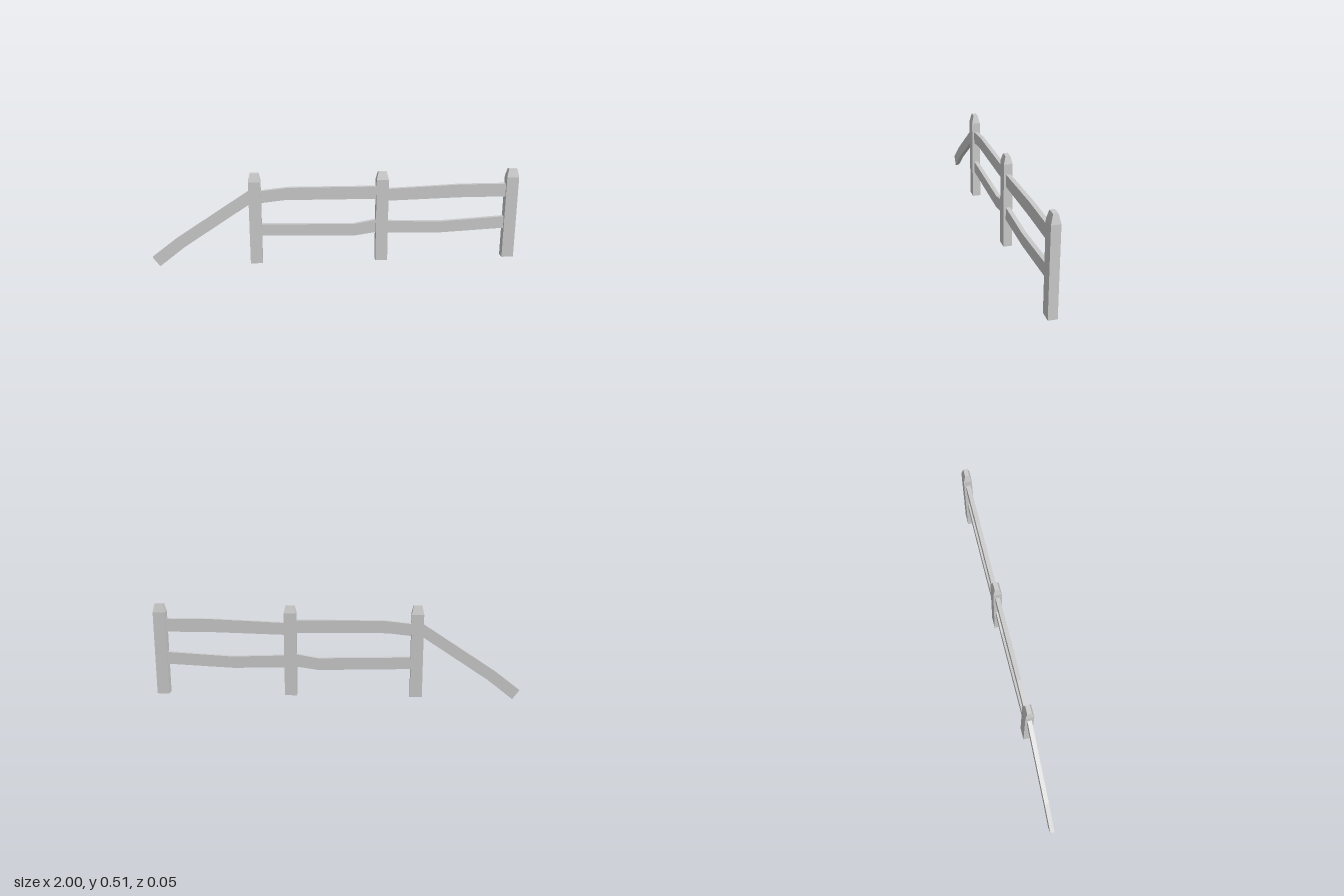
import * as THREE from 'three';

const material = new THREE.MeshStandardMaterial({ color: 0xcccccc, flatShading: true, side: THREE.DoubleSide });

const BASE = 0.007, SHOULDER = 0.467;

// Square post with a tapered head and an open foot
function createPost(x, top) {
  const geo = new THREE.BoxGeometry(0.066, 2, 0.046, 1, 2, 1);
  const pos = geo.attributes.position;
  for (let i = 0; i < pos.count; i++) {
    const level = Math.round(pos.getY(i)); // -1 foot, 0 shoulder, 1 top
    pos.setY(i, [BASE, SHOULDER, top][level + 1]);
    if (level === 1) {
      pos.setX(i, pos.getX(i) * 0.7);
      pos.setZ(i, pos.getZ(i) * 0.52);
    }
  }
  // Drop the underside
  const foot = geo.groups[3];
  const index = Array.from(geo.index.array);
  index.splice(foot.start, foot.count);
  geo.setIndex(index);
  geo.clearGroups();
  geo.computeVertexNormals();
  const mesh = new THREE.Mesh(geo, material);
  mesh.position.x = x;
  return mesh;
}

// Bent plank: upper edge and lower edge, both listed from -x to +x
function createRail(upper, lower) {
  const outline = [...lower, ...[...upper].reverse()].map(([x, y]) => new THREE.Vector2(x, y));
  const depth = 0.023;
  const geo = new THREE.ExtrudeGeometry(new THREE.Shape(outline), { depth, bevelEnabled: false });
  geo.translate(0, 0, -depth / 2);
  return new THREE.Mesh(geo, material);
}

export function createModel() {
  const fence = new THREE.Group();
  fence.name = 'fence';
  const add = (name, mesh) => {
    mesh.name = name;
    fence.add(mesh);
  };

  // Posts
  add('rightPost', createPost(-0.437, 0.513));
  add('middlePost', createPost(0.252, 0.508));
  add('leftPost', createPost(0.967, 0.513));

  // Rails between the posts
  add('upperRightRail', createRail(
    [[-0.406, 0.414], [-0.255, 0.43], [0.221, 0.428]],
    [[-0.406, 0.348], [-0.275, 0.362], [0.221, 0.359]]));
  add('upperLeftRail', createRail(
    [[0.283, 0.413], [0.68, 0.43], [0.936, 0.43]],
    [[0.283, 0.347], [0.68, 0.358], [0.936, 0.358]]));
  add('lowerRightRail', createRail(
    [[-0.406, 0.228], [0.10, 0.217], [0.221, 0.239]],
    [[-0.406, 0.163], [0.10, 0.151], [0.221, 0.169]]));
  add('lowerLeftRail', createRail(
    [[0.283, 0.231], [0.57, 0.221], [0.936, 0.243]],
    [[0.283, 0.163], [0.57, 0.157], [0.936, 0.176]]));

  // Rail that has dropped to the ground at one end
  add('fallenRail', createRail(
    [[-1, 0.052], [-0.861, 0.158], [-0.467, 0.415]],
    [[-0.963, 0], [-0.824, 0.108], [-0.467, 0.342]]));

  return fence;
}
